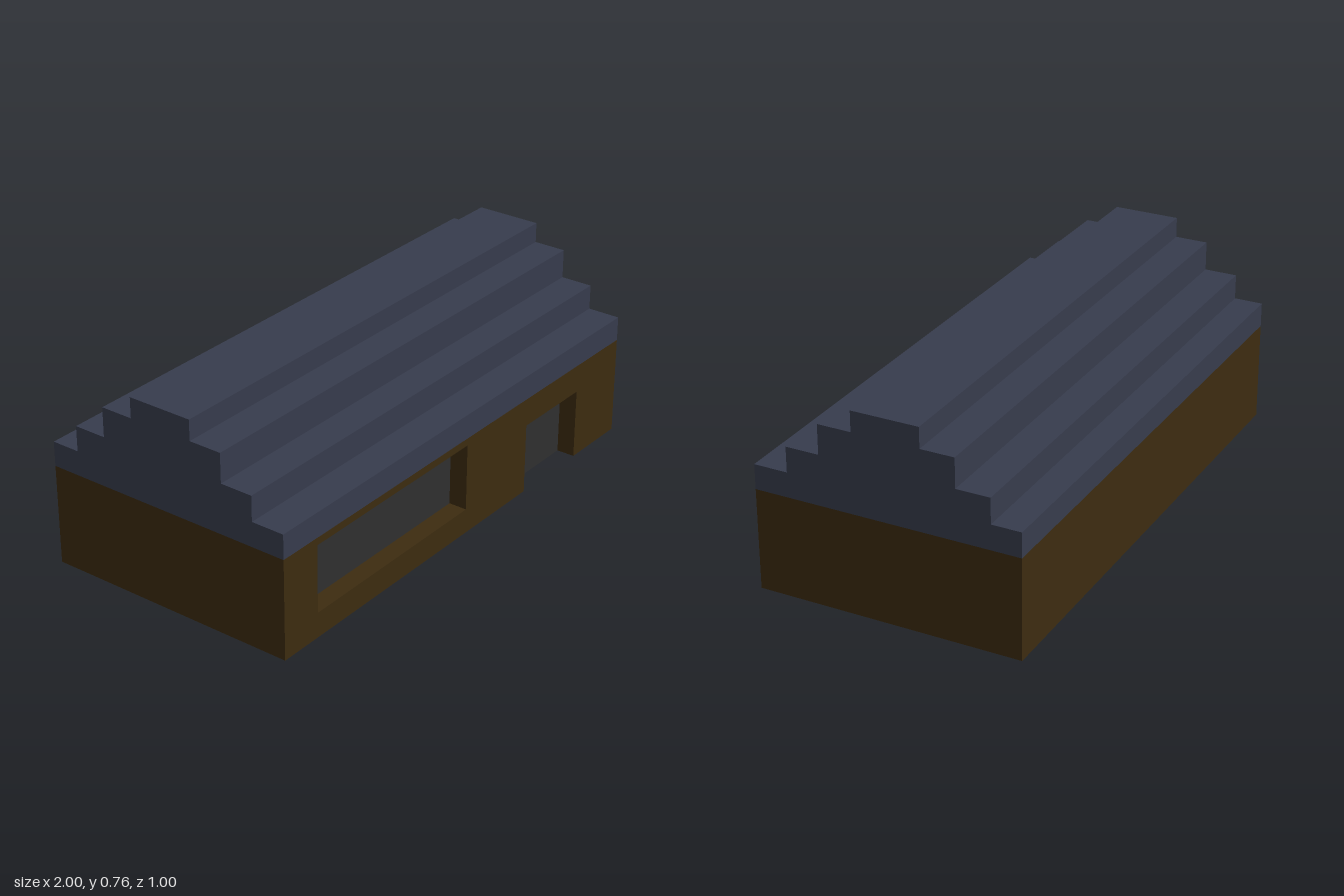
import * as THREE from 'three';

const material = (name, color) => {
  const m = new THREE.MeshStandardMaterial({ color });
  m.name = name;
  return m;
};

export function createModel() {
  const wood = material('dark brown wall', 0x3d2c10);
  const slate = material('slate blue roof', 0x373c4d);
  const grey = material('charcoal panel', 0x2f2f2f);

  const model = new THREE.Group();
  model.name = 'house';
  const add = (name, geometry, mat, x = 0, y = 0, z = 0) => {
    const mesh = new THREE.Mesh(geometry, mat);
    mesh.name = name;
    mesh.position.set(x, y, z);
    model.add(mesh);
    return mesh;
  };
  const polygon = (points) => new THREE.Shape(points.map(([x, y]) => new THREE.Vector2(x, y)));
  const extrude = (shape, depth) => new THREE.ExtrudeGeometry(shape, { depth, bevelEnabled: false });

  const wallTop = 0.382, recess = 0.075, back = 0.5 - recess;
  const door = { x0: 0.39, x1: 0.727, y0: 0, y1: 0.273 };
  const win = { x0: -0.828, x1: 0.016, y0: 0.096, y1: 0.354 };

  // Solid body behind the front wall
  add('body', new THREE.BoxGeometry(2, wallTop, 1 - recess), wood, 0, wallTop / 2, -recess / 2);

  // Front wall with a door notch and a window hole
  const front = polygon([
    [-1, 0], [door.x0, 0], [door.x0, door.y1], [door.x1, door.y1], [door.x1, 0],
    [1, 0], [1, wallTop], [-1, wallTop],
  ]);
  front.holes.push(polygon([
    [win.x0, win.y0], [win.x0, win.y1], [win.x1, win.y1], [win.x1, win.y0],
  ]));
  add('frontWall', extrude(front, recess), wood, 0, 0, back);

  // Recessed panels
  for (const [name, r] of [['doorPanel', door], ['windowPanel', win]]) {
    add(name, new THREE.BoxGeometry(r.x1 - r.x0, r.y1 - r.y0, 0.004), grey,
      (r.x0 + r.x1) / 2, (r.y0 + r.y1) / 2, back + 0.002);
  }

  // Stepped roof: [front z, back z, top y] of each tier, swept along x
  const tiers = [
    [0.5, -0.5, 0.476], [0.372, -0.389, 0.572], [0.246, -0.262, 0.684], [0.119, -0.135, 0.762],
  ];
  const frontSide = [], backSide = [];
  let y = wallTop;
  for (const [zf, zb, top] of tiers) {
    frontSide.push([zf, y], [zf, top]);
    backSide.unshift([zb, top], [zb, y]);
    y = top;
  }
  const roof = add('roof', extrude(polygon([...frontSide, ...backSide]), 2), slate, 1, 0, 0);
  roof.rotation.y = -Math.PI / 2;

  return model;
}
